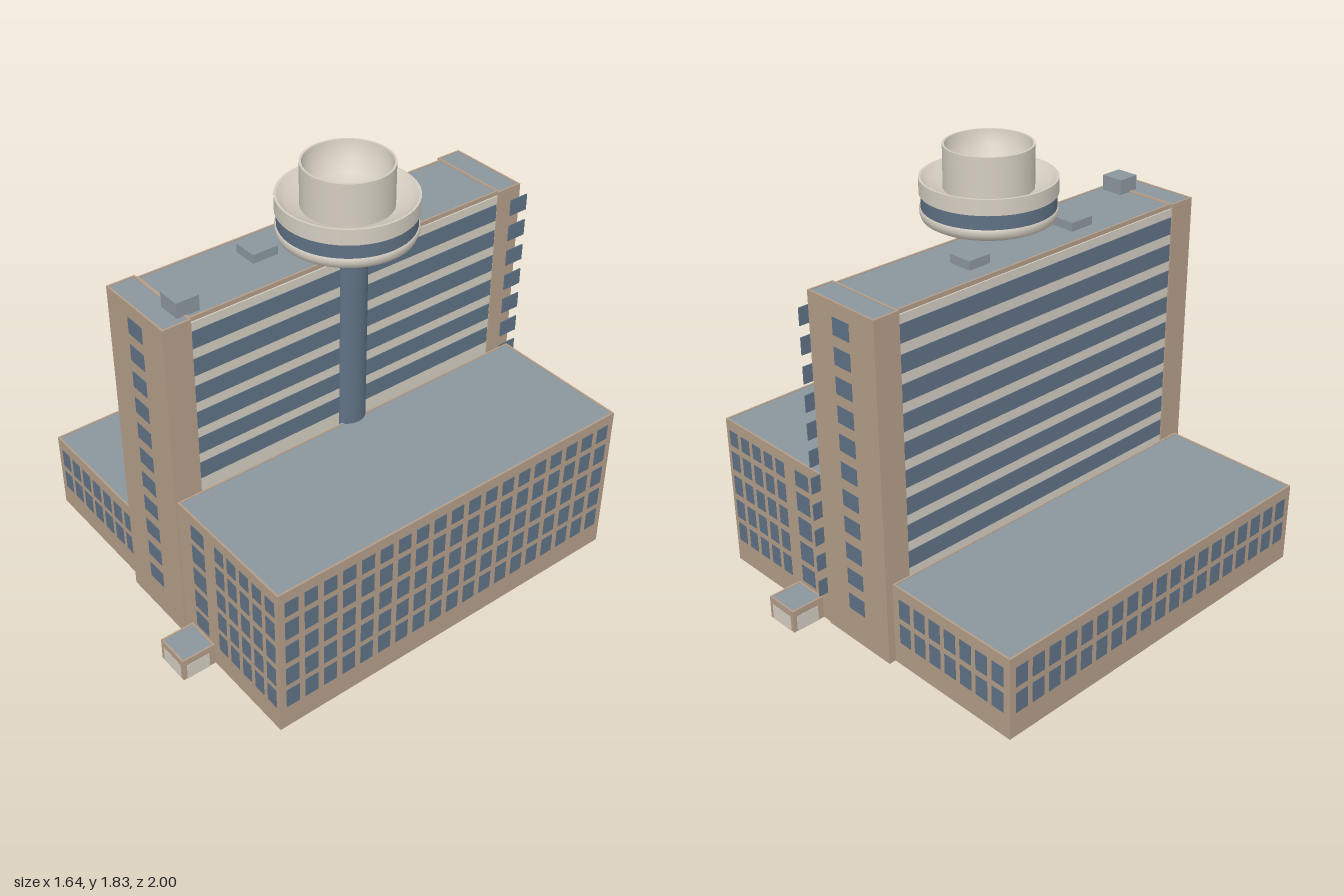
import * as THREE from 'three';

const mat = (name, color, side = THREE.DoubleSide) => {
  const m = new THREE.MeshStandardMaterial({ color, side });
  m.name = name;
  return m;
};

export function createModel() {
  const model = new THREE.Group();
  const tan = mat('tan wall', 0xb39d88);
  const cream = mat('cream panel', 0xd3ccc0);
  const glass = mat('blue glass', 0x5f7184);
  const roofGrey = mat('grey roof', 0x8b959d);

  const add = (name, geo, material, x = 0, y = 0, z = 0, parent = model) => {
    const mesh = new THREE.Mesh(geo, material);
    mesh.name = name;
    mesh.position.set(x, y, z);
    parent.add(mesh);
    return mesh;
  };

  // Box given by its limits
  const block = (name, x0, x1, y0, y1, z0, z1, material, parent) =>
    add(name, new THREE.BoxGeometry(x1 - x0, y1 - y0, z1 - z0), material,
      (x0 + x1) / 2, (y0 + y1) / 2, (z0 + z1) / 2, parent);

  // Four walls with no top or floor
  const walls = (name, x0, x1, y0, y1, z0, z1, material, parent) => {
    const mesh = block(name, x0, x1, y0, y1, z0, z1, material, parent);
    const g = mesh.geometry;
    const index = Array.from(g.index.array);
    g.setIndex([...index.slice(0, 12), ...index.slice(24)]);
    g.clearGroups();
  };

  // Flat sheet facing up
  const deck = (name, x0, x1, y, z0, z1, material, parent) =>
    add(name, new THREE.PlaneGeometry(x1 - x0, z1 - z0).rotateX(-Math.PI / 2), material,
      (x0 + x1) / 2, y, (z0 + z1) / 2, parent);

  // Raised edge around a roof
  const rim = (name, x0, x1, y0, y1, z0, z1, material, parent, t = 0.008) => {
    const loop = (C, i) => new C([
      new THREE.Vector2(x0 + i, -z0 - i), new THREE.Vector2(x0 + i, -z1 + i),
      new THREE.Vector2(x1 - i, -z1 + i), new THREE.Vector2(x1 - i, -z0 - i)]);
    const shape = loop(THREE.Shape, 0);
    shape.holes.push(loop(THREE.Path, t));
    const g = new THREE.ExtrudeGeometry(shape, { depth: y1 - y0, bevelEnabled: false });
    add(name, g.rotateX(-Math.PI / 2), material, 0, y0, 0, parent);
  };

  // Hollow building with walls, roof and rim
  const building = (name, x0, x1, h, z0, z1, y0 = 0) => {
    const g = new THREE.Group();
    g.name = name;
    model.add(g);
    walls('walls', x0, x1, y0, h - 0.012, z0, z1, tan, g);
    rim('roofRim', x0, x1, h - 0.012, h, z0, z1, tan, g);
    deck('roof', x0 + 0.004, x1 - 0.004, h - 0.003, z0 + 0.004, z1 - 0.004, roofGrey, g);
    return g;
  };

  // Thin plates on a wall; axis is the wall's normal, u is the centre along the wall
  const T = 0.004;
  const plate = (name, axis, face, u, w, y0, y1, material, parent) => axis === 'z'
    ? block(name, u - w / 2, u + w / 2, y0, y1, face - T / 2, face + T / 2, material, parent)
    : block(name, face - T / 2, face + T / 2, y0, y1, u - w / 2, u + w / 2, material, parent);
  const windows = (axis, face, first, last, count, w, rows, parent) => {
    for (let i = 0; i < count; i++) {
      const u = count > 1 ? first + (last - first) * i / (count - 1) : first;
      for (const [y0, y1] of rows) plate('window', axis, face, u, w, y0, y1, glass, parent);
    }
  };

  const rows = [[0.107, 0.196], [0.223, 0.31], [0.34, 0.427], [0.458, 0.544], [0.573, 0.643]];

  // High wing
  const high = building('highWing', 0.188, 0.818, 0.69, -0.85, 0.85);
  windows('x', 0.818, -0.79, 0.79, 19, 0.06, rows, high);
  for (const s of [1, -1]) {
    windows('z', s * 0.85, 0.456, 0.77, 5, 0.054, rows, high);
    windows('z', s * 0.85, 0.315, 0.315, 1, 0.082, [[0.118, 0.196], ...rows.slice(1)], high);
  }

  // Low wing
  const low = building('lowWing', -0.82, -0.187, 0.36, -0.825, 0.828);
  windows('x', -0.82, -0.765, 0.765, 19, 0.06, rows.slice(0, 2), low);
  for (const z of [0.828, -0.825]) windows('z', z, -0.758, -0.252, 7, 0.06, rows.slice(0, 2), low);

  // Tower slab with banded facades
  const slab = new THREE.Group();
  slab.name = 'towerSlab';
  model.add(slab);
  walls('facade', -0.178, 0.178, 0, 1.45, -0.74, 0.737, cream, slab);
  deck('facadeLedge', -0.178, 0.178, 1.45, -0.74, 0.737, cream, slab);
  rim('roofRim', -0.172, 0.172, 1.45, 1.468, -0.742, 0.737, tan, slab);
  deck('roof', -0.168, 0.168, 1.465, -0.738, 0.733, roofGrey, slab);
  for (let i = 0; i < 9; i++) {
    const y = 1.338 - i * 0.119;
    plate('windowBand', 'x', -0.178, 0, 1.47, y, y + 0.075, glass, slab);
    if (i < 6) plate('windowBand', 'x', 0.178, 0, 1.47, y, y + 0.075, glass, slab);
  }

  // Tower end blocks with a column of windows each
  const front = building('frontEndBlock', -0.185, 0.185, 1.47, 0.737, 0.857);
  const back = building('backEndBlock', -0.185, 0.185, 1.47, -0.855, -0.738);
  for (let i = 0; i < 11; i++) {
    const y = 1.338 - i * 0.119;
    plate('window', 'z', 0.857, 0, 0.092, y, y + 0.072, glass, front);
    plate('window', 'z', -0.855, 0, 0.092, y, y + 0.072, glass, back);
    // Fins projecting past the back corner
    plate('cornerFin', 'x', 0.187, -0.852, 0.09, y, y + 0.072, glass, back);
  }

  // Entrance porches
  for (const [s, x0] of [[1, 0.238], [-1, 0.232]]) {
    const x1 = x0 + 0.152;
    const porch = building(s > 0 ? 'frontPorch' : 'backPorch', x0, x1, 0.1,
      s > 0 ? 0.85 : -1, s > 0 ? 1 : -0.85);
    plate('porchDoor', 'z', s * 0.999, (x0 + x1) / 2, 0.118, 0, 0.07, cream, porch);
    for (const x of [x0, x1]) plate('porchSidePanel', 'x', x, s * 0.93, 0.104, 0, 0.07, cream, porch);
  }

  // Rooftop housings
  block('roofHousing', -0.092, 0.014, 1.46, 1.502, -0.318, -0.213, roofGrey);
  block('roofHousing', -0.092, 0.014, 1.46, 1.502, 0.233, 0.347, roofGrey);
  block('roofHousing', 0.048, 0.148, 1.46, 1.53, 0.675, 0.772, roofGrey);

  // Round lookout on a mast
  const lookout = new THREE.Group();
  lookout.name = 'lookout';
  lookout.position.x = 0.135;
  model.add(lookout);
  const lathe = (name, pts, material) => add(name,
    new THREE.LatheGeometry(pts.map(p => new THREE.Vector2(...p)), 48), material, 0, 0, 0, lookout);
  add('mast', new THREE.CylinderGeometry(0.076, 0.076, 0.83, 32), glass, 0.008, 1.095, 0, lookout);
  add('mastCollar', new THREE.CylinderGeometry(0.09, 0.086, 0.04, 32), glass, 0, 1.497, 0, lookout);
  lathe('podUnderside', [[0, 1.511], [0.09, 1.512], [0.247, 1.527]], cream);
  lathe('podLowerRing', [[0.247, 1.527], [0.264, 1.537], [0.272, 1.557], [0.272, 1.577], [0.264, 1.577]], cream);
  lathe('podWindowBand', [[0.266, 1.575], [0.266, 1.64]], glass);
  lathe('podUpperRing', [[0.266, 1.636], [0.273, 1.636]], cream);
  lathe('podUpperWall', [[0.273, 1.636], [0.273, 1.7]], cream);
  lathe('podRimTop', [[0.273, 1.7], [0.263, 1.7]], cream);
  lathe('podDish', [[0.263, 1.7], [0.235, 1.675], [0.178, 1.655]], cream);
  lathe('crownWall', [[0.179, 1.65], [0.179, 1.83]], cream);
  lathe('crownRim', [[0.179, 1.83], [0.17, 1.83]], cream);
  lathe('crownBowl', [[0.17, 1.83], [0.16, 1.77], [0.12, 1.72], [0.06, 1.7], [0, 1.695]], cream);

  return model;
}
